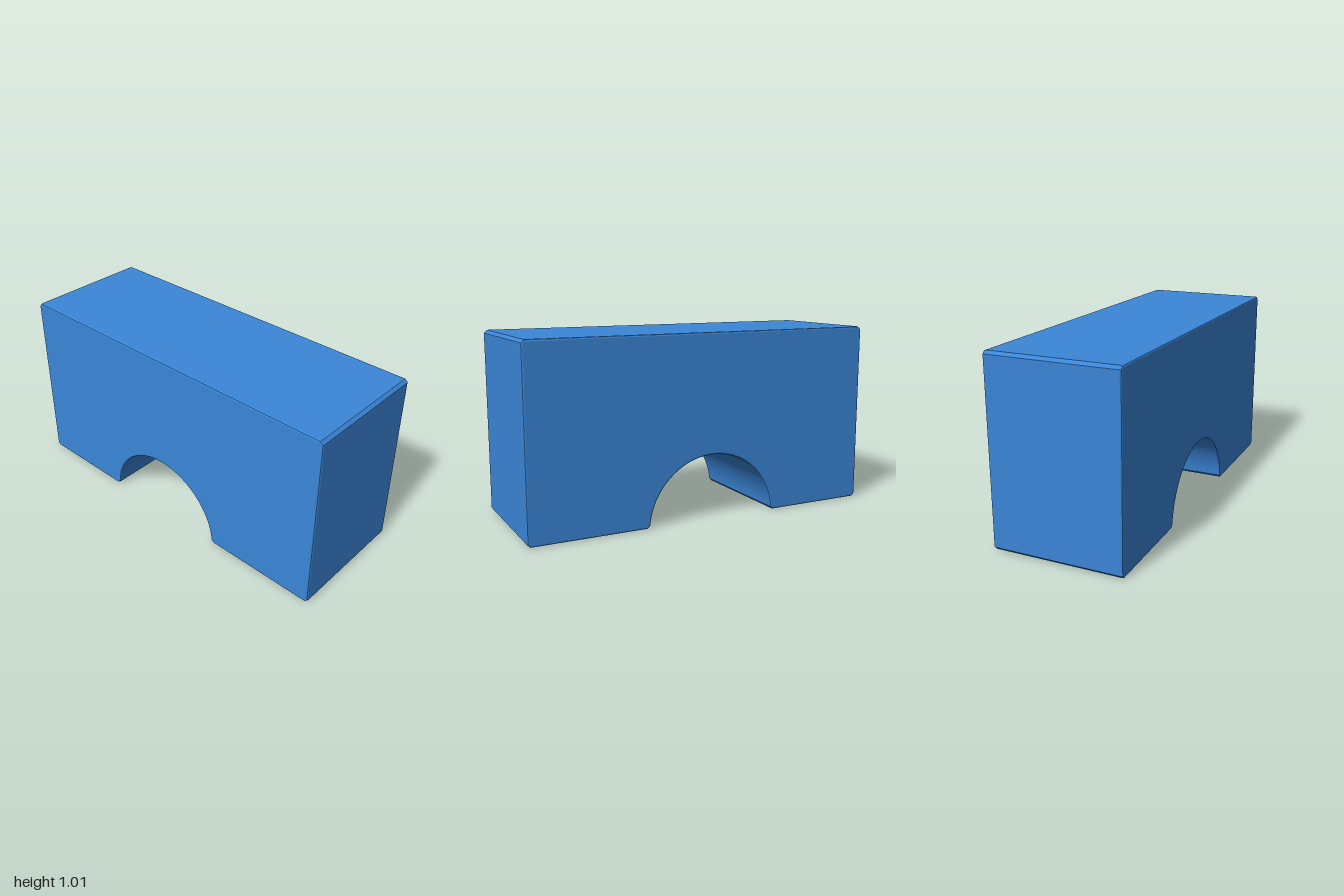
import * as THREE from 'three';
import { toCreasedNormals } from 'three/addons/utils/BufferGeometryUtils.js';

export function createModel() {
  const group = new THREE.Group();
  const width = 0.71, height = 1.01, half = 1;
  const c = 0.016;               // chamfer along the profile corners
  const bevel = 0.01;            // bevel around both side faces
  const arch = { x: 0.03, y: -0.018, r: 0.374 };
  const a = Math.asin((c - arch.y) / arch.r);
  const foot = arch.r * Math.cos(a);

  // Side profile: block with chamfered corners and an arched opening
  const shape = new THREE.Shape();
  shape.moveTo(arch.x + foot + c, 0);
  shape.lineTo(half - c, 0);
  shape.lineTo(half, c);
  shape.lineTo(half, height - c);
  shape.lineTo(half - c, height);
  shape.lineTo(-half + c, height);
  shape.lineTo(-half, height - c);
  shape.lineTo(-half, c);
  shape.lineTo(-half + c, 0);
  shape.lineTo(arch.x - foot - c, 0);
  shape.lineTo(arch.x - foot, c);
  shape.absarc(arch.x, arch.y, arch.r, Math.PI - a, a, true);

  const depth = width - 2 * bevel;
  const extruded = new THREE.ExtrudeGeometry(shape, {
    depth, curveSegments: 48,
    bevelThickness: bevel, bevelSize: bevel, bevelOffset: -bevel, bevelSegments: 2,
  });
  extruded.translate(0, 0, -depth / 2);
  extruded.rotateY(Math.PI / 2);

  const block = new THREE.Mesh(
    toCreasedNormals(extruded, 0.3),
    new THREE.MeshStandardMaterial({ color: 0x3a86d8 }),
  );
  block.name = 'archBlock';
  group.add(block);
  return group;
}
